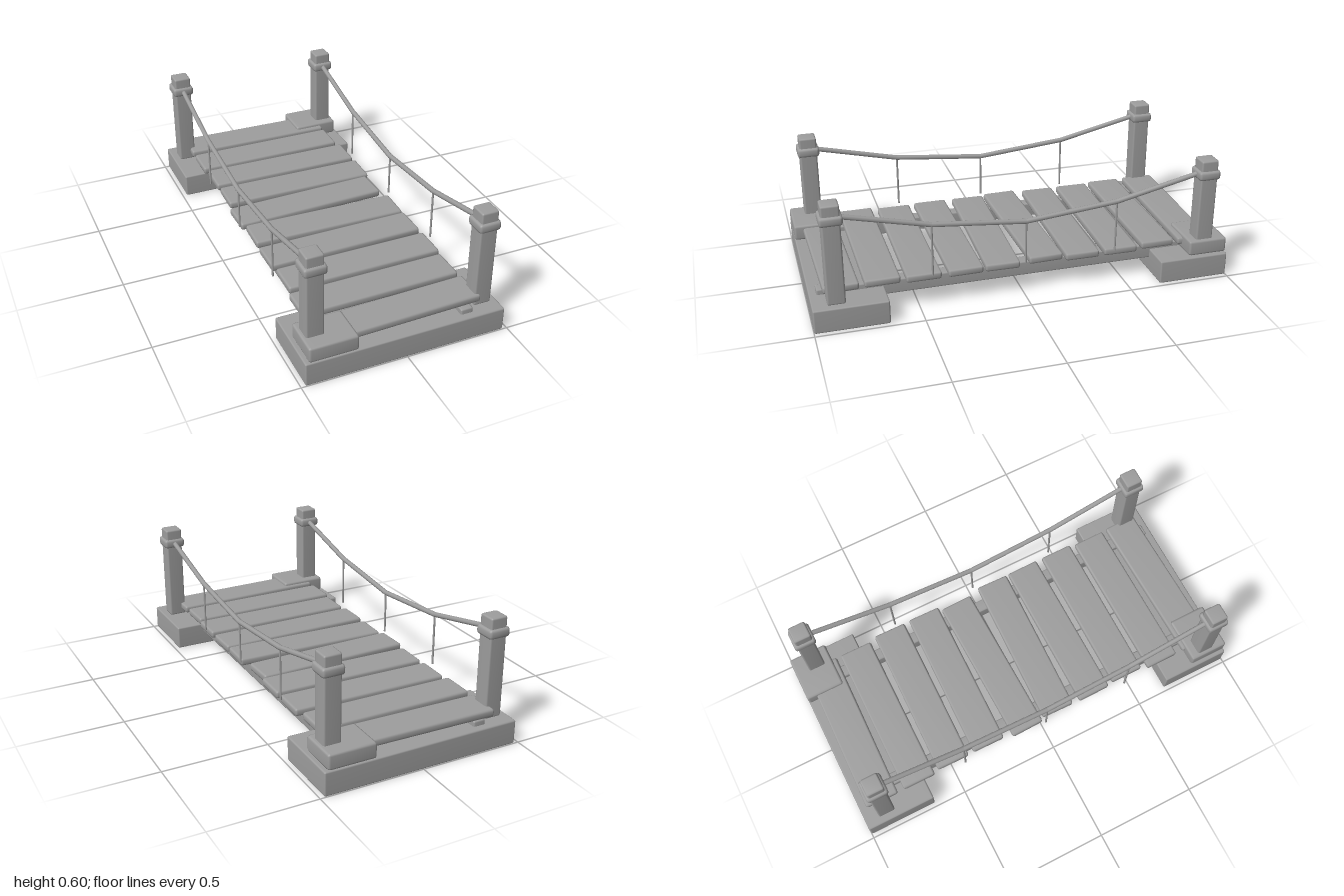
import * as THREE from 'three';
import { mergeVertices } from 'three/addons/utils/BufferGeometryUtils.js';
import { RoundedBoxGeometry } from 'three/addons/geometries/RoundedBoxGeometry.js';

export function createModel() {
  const bridge = new THREE.Group();
  bridge.name = 'ropeBridge';
  const grey = new THREE.MeshStandardMaterial({ color: 0x9e9e9e });
  grey.name = 'grey';

  // Softly bevelled block between two corners, with smooth shading
  function block(name, [x0, x1], [y0, y1], [z0, z1], bevel) {
    let geo = new RoundedBoxGeometry(x1 - x0, y1 - y0, z1 - z0, 1, bevel);
    geo.deleteAttribute('normal');
    geo.deleteAttribute('uv');
    geo = mergeVertices(geo, 1e-5);
    geo.computeVertexNormals();
    const mesh = new THREE.Mesh(geo, grey);
    mesh.name = name;
    mesh.position.set((x0 + x1) / 2, (y0 + y1) / 2, (z0 + z1) / 2);
    bridge.add(mesh);
    return mesh;
  }

  // Straight rod between two points
  function rod(name, a, b, radius) {
    const dir = b.clone().sub(a);
    const mesh = new THREE.Mesh(new THREE.CylinderGeometry(radius, radius, dir.length(), 8), grey);
    mesh.name = name;
    mesh.position.copy(a).add(b).multiplyScalar(0.5);
    mesh.quaternion.setFromUnitVectors(new THREE.Vector3(0, 1, 0), dir.normalize());
    bridge.add(mesh);
  }

  // Stone footings at both ends, each with one corner slab on opposite sides
  block('frontFooting', [-0.48, 0.48], [0, 0.116], [0.655, 1], 0.008);
  block('backFooting', [-0.48, 0.48], [0, 0.116], [-1, -0.655], 0.008);
  block('frontCornerSlab', [-0.463, -0.232], [0.116, 0.193], [0.807, 1], 0.012);
  block('backCornerSlab', [0.232, 0.463], [0.116, 0.193], [-1, -0.807], 0.012);

  // Long beams under the deck
  for (const x of [-0.307, 0.307]) {
    const shift = x > 0 ? 0.005 : -0.005;
    block('deckBeam', [x - 0.03, x + 0.03], [0.07, 0.142], [-0.96 + shift, 0.96 + shift], 0.008);
  }

  // Slightly crooked deck planks: left end, right end, z at left, z at right
  const planks = [
    [-0.388, 0.38, -0.882, -0.865],
    [-0.388, 0.376, -0.683, -0.678],
    [-0.377, 0.39, -0.495, -0.482],
    [-0.377, 0.39, -0.302, -0.289],
    [-0.393, 0.37, -0.093, -0.114],
    [-0.377, 0.39, 0.083, 0.104],
    [-0.382, 0.39, 0.286, 0.28],
    [-0.372, 0.39, 0.478, 0.478],
    [-0.388, 0.38, 0.673, 0.668],
    [-0.388, 0.387, 0.876, 0.858],
  ];
  for (const [xl, xr, zl, zr] of planks) {
    const z = (zl + zr) / 2;
    const plank = block('plank', [xl, xr], [0.14, 0.178], [z - 0.083, z + 0.083], 0.011);
    plank.rotation.y = -Math.atan2(zr - zl, xr - xl);
  }

  // Corner posts with collars
  for (const x of [-0.405, 0.405]) {
    for (const z of [-0.888, 0.888]) {
      block('post', [x - 0.042, x + 0.042], [0.114, 0.597], [z - 0.042, z + 0.042], 0.009);
      block('postCollar', [x - 0.053, x + 0.053], [0.501, 0.547], [z - 0.053, z + 0.053], 0.013);
    }
  }

  // Sagging hand ropes and the thin hangers below them
  const sag = [[-0.87, 0.53], [-0.442, 0.431], [0, 0.388], [0.442, 0.431], [0.87, 0.53]];
  for (const x of [-0.405, 0.405]) {
    const points = sag.map(([z, y]) => new THREE.Vector3(x, y, z));
    for (let i = 0; i < 4; i++) rod('handRope', points[i], points[i + 1], 0.0125);
    for (const p of points.slice(1, 4)) {
      rod('ropeHanger', new THREE.Vector3(x, 0.175, p.z), p, 0.005);
    }
  }
  return bridge;
}
